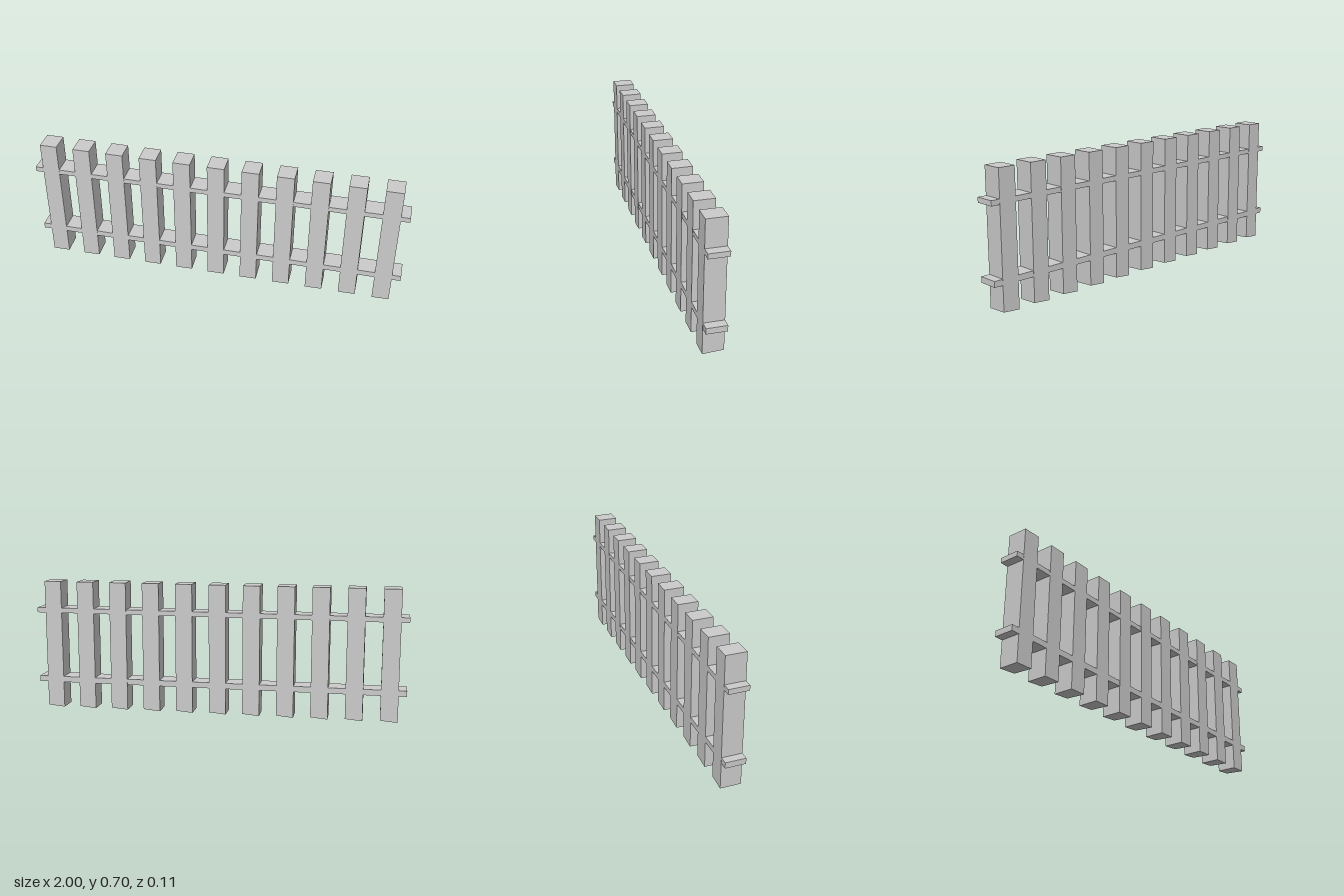
import * as THREE from 'three';

export function createModel() {
  const group = new THREE.Group();
  const material = new THREE.MeshStandardMaterial({ color: 0xcccccc, flatShading: true });
  const count = 11, pitch = 0.182, width = 0.091, height = 0.7, depth = 0.106;

  // Upright post, its bottom cut a little unevenly on the +x side
  const post = new THREE.BoxGeometry(width, height, depth);
  post.translate(0, height / 2, 0);
  const p = post.attributes.position;
  for (let i = 0; i < p.count; i++) {
    if (p.getY(i) < 0.01 && p.getX(i) > 0) p.setY(i, p.getZ(i) < 0 ? 0.008 : 0.002);
  }
  post.computeVertexNormals();

  for (let i = 0; i < count; i++) {
    const picket = new THREE.Mesh(post, material);
    picket.name = `picket${i + 1}`;
    picket.position.x = -0.912 + i * pitch;
    group.add(picket);
  }

  // Two rails running through all the pickets, a hair inside their faces
  const addRail = (name, bottom, top) => {
    const rail = new THREE.Mesh(new THREE.BoxGeometry(2, top - bottom, depth - 0.001), material);
    rail.name = name;
    rail.position.y = (bottom + top) / 2;
    group.add(rail);
  };
  addRail('lowerRail', 0.141, 0.172);
  addRail('upperRail', 0.528, 0.555);

  return group;
}
